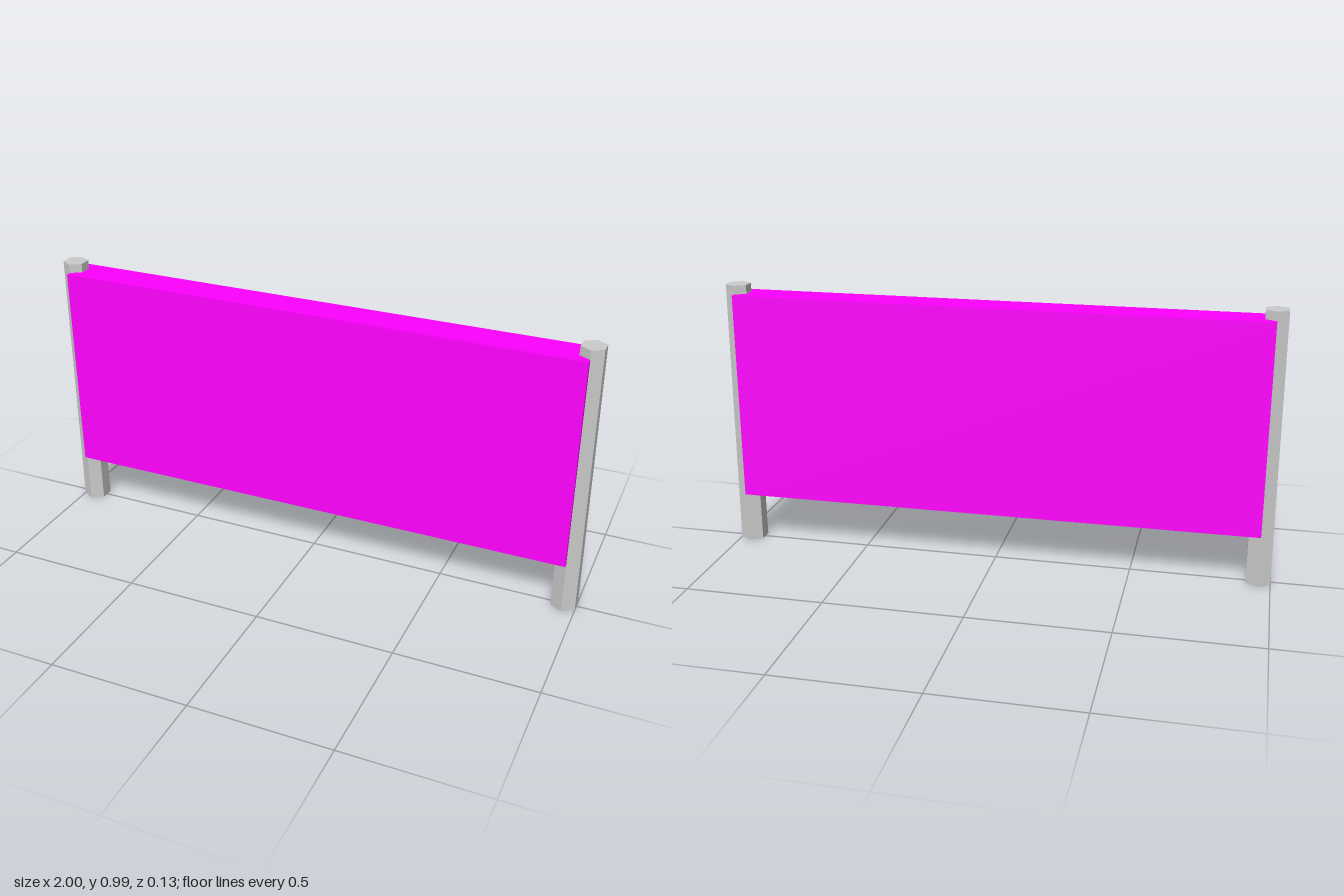
import * as THREE from 'three';

export function createModel() {
  const model = new THREE.Group();
  const grey = new THREE.MeshStandardMaterial({ color: 0xcccccc, flatShading: true });
  const magenta = new THREE.MeshStandardMaterial({ color: 0xff00ff });

  // Slightly tapered hexagonal posts at both ends
  const height = 0.99;
  const postGeometry = new THREE.CylinderGeometry(0.045, 0.05, height, 6);
  for (const [name, side] of [['leftPost', 1], ['rightPost', -1]]) {
    const post = new THREE.Mesh(postGeometry, grey);
    post.name = name;
    post.position.set(side * 0.957, height / 2, 0);
    model.add(post);
  }

  // Board spanning between the post centres
  const bottom = 0.193, top = 0.958;
  const board = new THREE.Mesh(new THREE.BoxGeometry(1.914, top - bottom, 0.128), magenta);
  board.name = 'board';
  board.position.y = (bottom + top) / 2;
  model.add(board);

  return model;
}
